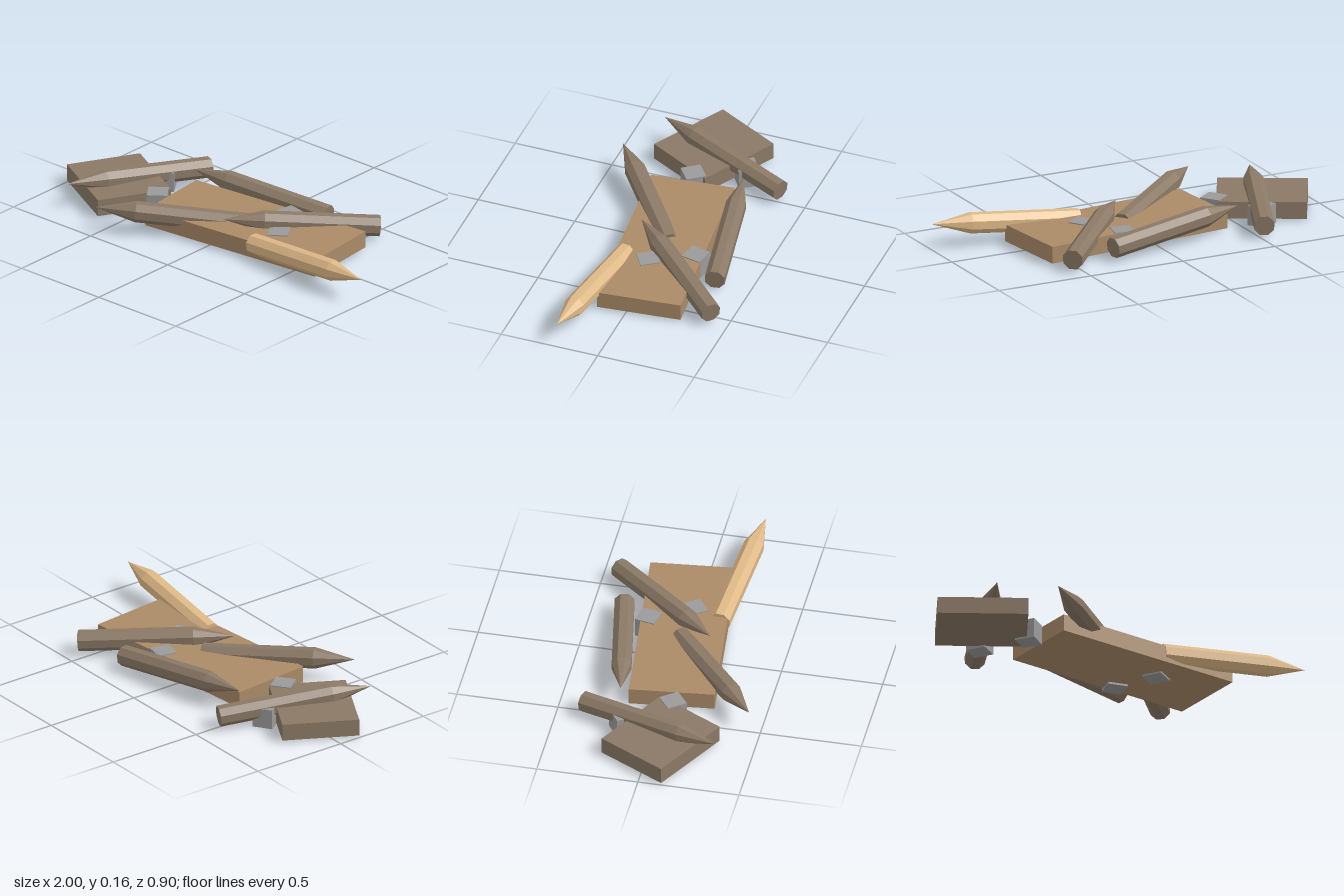
import * as THREE from 'three';

const material = (name, color) => {
  const m = new THREE.MeshStandardMaterial({ color });
  m.name = name;
  return m;
};

export function createModel() {
  const group = new THREE.Group();
  const tan = material('tan wood', 0xaa8b68);
  const dark = material('weathered wood', 0x8b7966);
  const light = material('fresh wood', 0xdeb887);
  const stone = material('grey stone', 0x9a9a9a);

  // Flat box resting at height y0, turned about the vertical
  const block = (name, mat, [w, h, d], [x, y0, z], turn) => {
    const mesh = new THREE.Mesh(new THREE.BoxGeometry(w, h, d), mat);
    mesh.name = name;
    mesh.position.set(x, y0 + h / 2, z);
    mesh.rotation.y = turn;
    group.add(mesh);
  };

  // Two planks lying on the ground
  block('largePlank', tan, [1.01, 0.085, 0.418], [0.112, 0.01, -0.013], 0.103);
  block('smallPlank', dark, [0.44, 0.085, 0.376], [-0.715, 0.01, 0.053], -0.494);

  // Stones poking through and between the planks
  const stones = [[-0.605, -0.158, 0.6], [-0.457, 0.06, 0.65], [0.172, -0.193, -0.2], [0.285, 0.01, 0.6]];
  stones.forEach(([x, z, turn], i) => block('stone' + (i + 1), stone, [0.1, 0.1, 0.1], [x, 0, z], turn));

  // Eight-sided stakes: straight shaft, then a sharpened point
  const R = 0.052, LENGTH = 0.765;
  const profile = [[0, 0], [R, 0], [R, LENGTH * 0.74], [0, LENGTH]].map(p => new THREE.Vector2(...p));
  const stakeGeometry = new THREE.LatheGeometry(profile, 8, Math.PI / 8).toNonIndexed();
  stakeGeometry.computeVertexNormals();

  // base x, base z, tip x, tip z
  const stakes = [
    ['frontStake', dark, 0.085, -0.018, -0.513, 0.445],
    ['rightStake', dark, 0.557, -0.417, 0.04, 0.137],
    ['backStake', dark, 0.296, -0.338, -0.457, -0.2],
    ['leftStake', dark, -0.51, -0.37, -0.795, 0.34],
    ['lightStake', light, 0.24, 0.145, 1.0, 0.213],
  ];
  for (const [name, mat, bx, bz, tx, tz] of stakes) {
    const base = new THREE.Vector3(bx, 0.065, bz);
    const axis = new THREE.Vector3(tx, 0.13, tz).sub(base).normalize();
    const side = new THREE.Vector3(0, 1, 0).cross(axis).normalize();
    const up = new THREE.Vector3().crossVectors(axis, side);
    const mesh = new THREE.Mesh(stakeGeometry, mat);
    mesh.name = name;
    mesh.quaternion.setFromRotationMatrix(new THREE.Matrix4().makeBasis(up, axis, side));
    mesh.position.copy(base);
    group.add(mesh);
  }
  return group;
}
